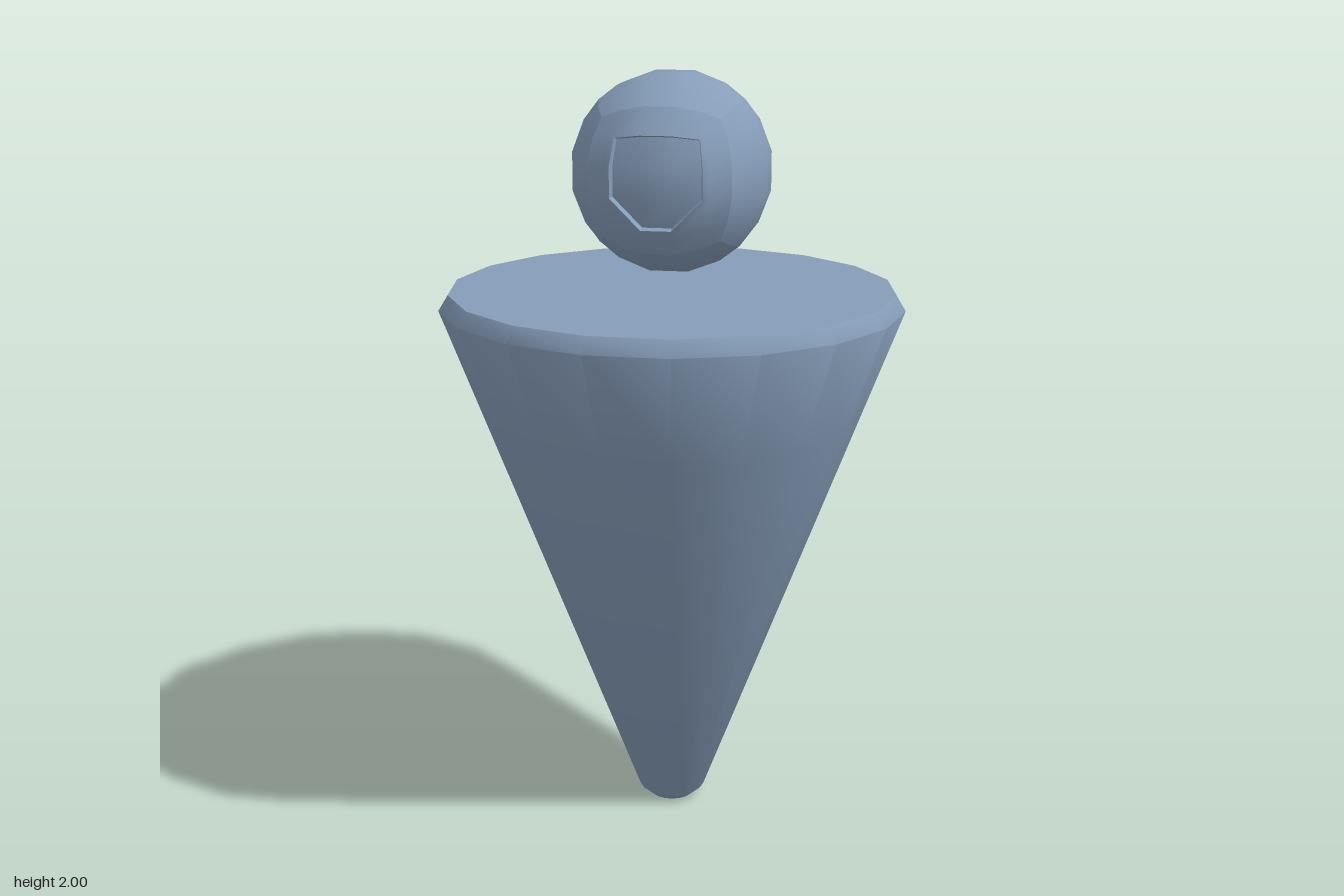
import * as THREE from 'three';
import { mergeGeometries, toCreasedNormals } from 'three/addons/utils/BufferGeometryUtils.js';

const HEAD_R = 0.2585;
const GRID = [-1, -0.6, -0.2, 0.2, 0.6, 1];

// Point of a cube's +z face pushed onto the head sphere; scale insets it, back sinks it
function facePoint(u, v, scale = 1, back = 0) {
  const p = new THREE.Vector3(u * scale, v * scale, 1).setLength(HEAD_R);
  p.z -= back;
  return p;
}

// Collects triangles and quads of one head side, smoothed within that side only
function sideBuilder() {
  const positions = [];
  const tri = (a, b, c) => [a, b, c].forEach((p) => positions.push(p.x, p.y, p.z));
  const quad = (a, b, c, d) => { tri(a, b, c); tri(a, c, d); };
  // 5 x 5 cells; keep(i, j) chooses which to fill
  const patch = (keep, place) => {
    for (let i = 0; i < 5; i++) for (let j = 0; j < 5; j++) {
      if (!keep(i, j)) continue;
      const at = (a, b) => place(GRID[i + a], GRID[j + b]);
      quad(at(0, 0), at(1, 0), at(1, 1), at(0, 1));
    }
  };
  const build = () => {
    const geometry = new THREE.BufferGeometry();
    geometry.setAttribute('position', new THREE.Float32BufferAttribute(positions, 3));
    return toCreasedNormals(geometry, 0.65);
  };
  return { tri, quad, patch, build };
}

// Front side with the sunken face panel
function frontSide() {
  const { tri, quad, patch, build } = sideBuilder();
  const inner = (i, j) => i > 0 && i < 4 && j > 0 && j < 4;

  // Surround, closing the cut-off lower corners of the panel
  patch((i, j) => !inner(i, j), (u, v) => facePoint(u, v));
  tri(facePoint(-0.6, -0.6), facePoint(-0.2, -0.6), facePoint(-0.6, -0.2));
  tri(facePoint(0.6, -0.6), facePoint(0.6, -0.2), facePoint(0.2, -0.6));

  // Panel border and recess wall
  const rim = [[-0.2, -0.6], [0.2, -0.6], [0.6, -0.2], [0.6, 0.2], [0.6, 0.6],
    [0.2, 0.6], [-0.2, 0.6], [-0.6, 0.6], [-0.6, 0.2], [-0.6, -0.2]];
  const rings = [[1, 0], [0.845, 0], [0.8, 0.022]];
  for (let r = 0; r < 2; r++) {
    rim.forEach((a, k) => {
      const b = rim[(k + 1) % rim.length];
      quad(facePoint(...a, ...rings[r]), facePoint(...b, ...rings[r]),
        facePoint(...b, ...rings[r + 1]), facePoint(...a, ...rings[r + 1]));
    });
  }

  // Panel floor
  const floor = (u, v) => facePoint(u, v, ...rings[2]);
  patch((i, j) => inner(i, j) && !(j === 1 && i !== 2), floor);
  tri(floor(-0.2, -0.6), floor(-0.2, -0.2), floor(-0.6, -0.2));
  tri(floor(0.2, -0.6), floor(0.6, -0.2), floor(0.2, -0.2));
  return build();
}

function headGeometry() {
  const sides = [frontSide()];
  // Five plain sides
  const turns = [[0, Math.PI / 2], [0, Math.PI], [0, -Math.PI / 2], [Math.PI / 2, 0], [-Math.PI / 2, 0]];
  for (const [rx, ry] of turns) {
    const side = sideBuilder();
    side.patch(() => true, (u, v) => facePoint(u, v));
    sides.push(side.build().rotateX(rx).rotateY(ry));
  }
  return mergeGeometries(sides);
}

export function createModel() {
  const group = new THREE.Group();
  const material = new THREE.MeshStandardMaterial({ color: 0x869db9 });

  // Tapered body with bevelled ends
  const profile = [[0, 0], [0.06, 0], [0.09, 0.027], [0.497, 1.12], [0.605, 1.41], [0.58, 1.45], [0, 1.45]]
    .map(([x, y]) => new THREE.Vector2(x, y));
  const body = new THREE.Mesh(
    toCreasedNormals(new THREE.LatheGeometry(profile, 18, Math.PI / 2), 0.95), material);
  body.name = 'body';
  group.add(body);

  // Floating head with a recessed face panel
  const head = new THREE.Mesh(headGeometry(), material);
  head.name = 'head';
  head.position.y = 1.7515;
  group.add(head);

  return group;
}
